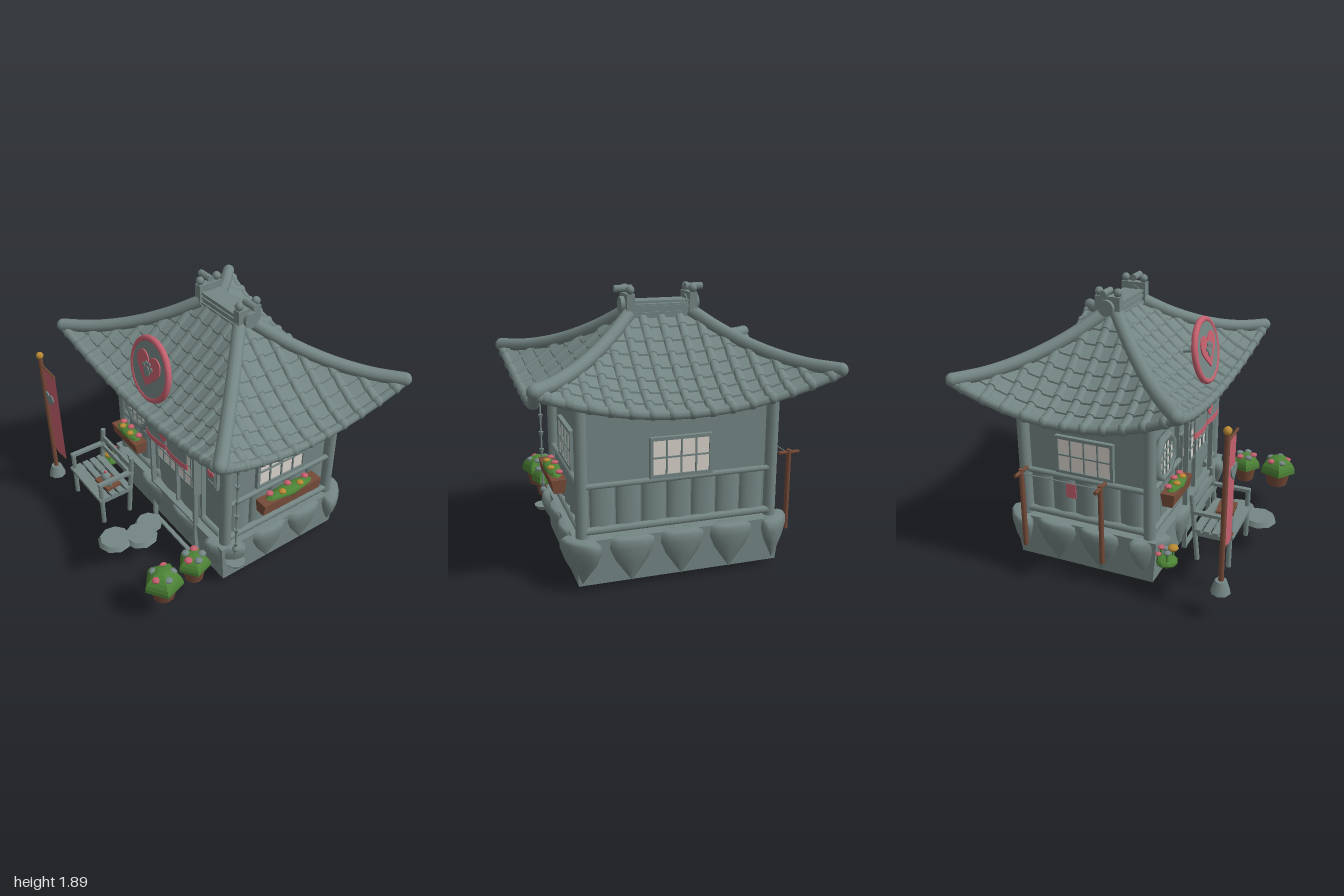
import * as THREE from 'three';
import { mergeGeometries, toCreasedNormals } from 'three/addons/utils/BufferGeometryUtils.js';

const mat = (name, color, extra = {}) => Object.assign(new THREE.MeshStandardMaterial({ color, ...extra }), { name });
const M = {
  grey: mat('slate grey', 0x748684), pink: mat('rose pink', 0xc4606e),
  cloth: mat('rose cloth', 0xc4606e, { side: THREE.DoubleSide }),
  brown: mat('wood brown', 0x754a38), soffit: mat('dark wood', 0x583a2d),
  green: mat('leaf green', 0x4c8236, { flatShading: true }), gold: mat('gold', 0xb98a34), cream: mat('paper cream', 0xd9d2cb),
};
const V = (x, y, z) => new THREE.Vector3(x, y, z);
const ZC = -0.175; // depth centre of the house

function add(parent, name, geo, material, x = 0, y = 0, z = 0, rx = 0, ry = 0, rz = 0) {
  const m = new THREE.Mesh(geo, material);
  m.name = name;
  m.position.set(x, y, z);
  m.rotation.set(rx, ry, rz);
  parent.add(m);
  return m;
}
function group(parent, name, x = 0, y = 0, z = 0, ry = 0) {
  const g = new THREE.Group();
  g.name = name;
  g.position.set(x, y, z);
  g.rotation.y = ry;
  parent.add(g);
  return g;
}
const box = (w, h, d) => new THREE.BoxGeometry(w, h, d);
const cyl = (r, h, n = 10, r2 = r) => new THREE.CylinderGeometry(r, r2, h, n);
const ball = (r, n = 10) => new THREE.SphereGeometry(r, n, Math.max(6, n - 2));

// Surface through rows of points
function loft(rows) {
  const n = rows[0].length, idx = [];
  for (let i = 0; i < rows.length - 1; i++) for (let j = 0; j < n - 1; j++) {
    const a = i * n + j, b = a + n;
    idx.push(a, b, a + 1, b, b + 1, a + 1);
  }
  const g = new THREE.BufferGeometry().setFromPoints(rows.flat());
  g.setIndex(idx);
  return toCreasedNormals(g, 0.7);
}
function heartGeo(w, depth = 0.009) {
  const s = new THREE.Shape(), k = w / 2;
  s.moveTo(0, -0.9 * k);
  s.bezierCurveTo(-0.5 * k, -0.4 * k, -k, -0.1 * k, -k, 0.3 * k);
  s.bezierCurveTo(-k, 0.95 * k, -0.15 * k, 0.95 * k, 0, 0.4 * k);
  s.bezierCurveTo(0.15 * k, 0.95 * k, k, 0.95 * k, k, 0.3 * k);
  s.bezierCurveTo(k, -0.1 * k, 0.5 * k, -0.4 * k, 0, -0.9 * k);
  return new THREE.ExtrudeGeometry(s, { depth, bevelEnabled: false, curveSegments: 8 });
}

// Roof: half width and reach grow from ridge (t = 0) to eave (t = 1)
const hipY = t => 1.39 + 0.31 * (1 - t) ** 1.95;
const midY = t => 1.19 + 0.51 * (1 - t) ** 1.3;
const spanX = t => 0.21 + 0.75 * t, spanZ = t => 0.05 + 0.7 * t;
function roofPoint(k, s, t, lift = 0) {
  const [w, d] = k % 2 ? [spanZ(t), spanX(t)] : [spanX(t), spanZ(t)];
  const a = k * Math.PI / 2, along = s * w, out = d - 0.06 * t * (1 - s * s);
  const y = midY(t) + (hipY(t) - midY(t)) * s * s + lift;
  return V(along * Math.cos(a) + out * Math.sin(a), y, ZC - along * Math.sin(a) + out * Math.cos(a));
}
function buildRoof(root) {
  const roof = group(root, 'roof'), ROWS = 8;
  const S = Array.from({ length: 17 }, (_, i) => i / 8 - 1);
  for (let k = 0; k < 4; k++) {
    const pans = [], under = [], tiles = [];
    for (let j = 0; j < ROWS; j++) {
      pans.push(S.map(s => roofPoint(k, s, j / ROWS)), S.map(s => roofPoint(k, s, (j + 1) / ROWS, 0.012)));
    }
    for (let j = ROWS; j >= 0; j--) under.push(S.map(s => roofPoint(k, s, j / ROWS, -0.03)));
    add(roof, 'roofPans', loft(pans), M.grey);
    add(roof, 'roofUnderside', loft(under), M.soffit);
    // Overlapping barrel tiles, clipped at the hips
    const w = k % 2 ? spanZ : spanX, cols = k % 2 ? 11 : 15, dir = V(Math.cos(k * Math.PI / 2), 0, -Math.sin(k * Math.PI / 2));
    for (let c = 0; c < cols; c++) {
      const a = ((c + 0.5) / cols * 2 - 1) * w(1), t0 = Math.max(0, (Math.abs(a) - w(0)) / (w(1) - w(0)));
      const ring = (t, r) => Array.from({ length: 7 }, (_, i) => {
        const f = Math.PI * (1 - i / 6), p = roofPoint(k, a / w(t), t, r * Math.sin(f));
        return p.addScaledVector(dir, r * 1.1 * Math.cos(f));
      });
      const rows = [];
      for (let j = 0; j < ROWS; j++) {
        if ((j + 1) / ROWS <= t0) continue;
        rows.push(ring(Math.max(t0, j / ROWS), 0.026), ring((j + 1) / ROWS, 0.033));
      }
      tiles.push(loft(rows));
      const e = roofPoint(k, a / w(1), 1), end = ball(0.04, 8);
      end.translate(e.x, e.y, e.z);
      tiles.push(end.toNonIndexed());
    }
    tiles.forEach(g => g.deleteAttribute('uv'));
    add(roof, 'roofTiles', mergeGeometries(tiles), M.grey);
    const edge = new THREE.CatmullRomCurve3(S.map(s => roofPoint(k, s, 1, -0.005)));
    add(roof, 'eaveEdge', new THREE.TubeGeometry(edge, 32, 0.03, 8), M.grey);
    // Hip roll with rounded tip
    const sx = k < 2 ? 1 : -1, sz = k % 3 ? -1 : 1;
    const pts = [0, 0.2, 0.4, 0.6, 0.8, 1].map(t => V(sx * spanX(t), hipY(t) + 0.015, ZC + sz * spanZ(t)));
    add(roof, 'hipRoll', new THREE.TubeGeometry(new THREE.CatmullRomCurve3(pts), 24, 0.046, 10), M.grey);
    add(roof, 'hipTip', ball(0.046), M.grey, pts[5].x, pts[5].y, pts[5].z);
  }
  // Ridge
  add(roof, 'ridge', box(0.44, 0.1, 0.13), M.grey, 0, 1.72, ZC - 0.01);
  for (const y of [1.71, 1.75, 1.785]) add(roof, 'ridgeBand', box(0.46, 0.016, 0.15), M.grey, 0, y, ZC - 0.01);
  for (const s of [-1, 1]) {
    const e = group(roof, 'ridgeEnd', s * 0.215, 0, ZC - 0.01);
    add(e, 'endBlock', box(0.055, 0.13, 0.18), M.grey, 0, 1.775);
    add(e, 'endDisc', cyl(0.055, 0.09, 16), M.grey, s * 0.01, 1.765, 0, 0, 0, Math.PI / 2);
    add(e, 'longPeg', cyl(0.024, 0.12, 8), M.grey, s * 0.03, 1.87, 0, 0, 0, Math.PI / 2);
    for (const z of [-0.068, 0.068]) add(e, 'knob', ball(0.03, 8), M.grey, 0, 1.865, z);
  }
}

function windowGrid(p, w, h, cols, rows, x, y, z, rim = 0.022) {
  const g = group(p, 'window', x, y, z);
  add(g, 'paperPane', box(w, h, 0.009), M.cream);
  for (let i = 0; i <= cols; i++) add(g, 'windowBar', box(i % cols ? 0.01 : rim, h, 0.03), M.grey, -w / 2 + i * w / cols);
  for (let i = 0; i <= rows; i++) add(g, 'windowBar', box(w + rim, i % rows ? 0.01 : rim, 0.03), M.grey, 0, -h / 2 + i * h / rows);
}
function wainscot(p, x0, x1, n) {
  const w = (x1 - x0) / n;
  for (let i = 0; i < n; i++) add(p, 'wallPanel', cyl(0.5, 0.29, 14), M.grey, x0 + w * (i + 0.5), 0.54, 0).scale.set(w * 0.96, 1, 0.07);
  for (const y of [0.4, 0.7]) add(p, 'wallRail', cyl(y < 0.5 ? 0.026 : 0.02, x1 - x0 + 0.08, 8), M.grey, (x0 + x1) / 2, y, 0.03, 0, 0, Math.PI / 2);
}
function flowerBox(p, len, x, y, z) {
  const g = group(p, 'flowerBox', x, y, z), b = box(len, 0.09, 0.1), a = b.attributes.position;
  for (let i = 0; i < a.count; i++) if (a.getY(i) < 0) a.setZ(i, a.getZ(i) * 0.7);
  add(g, 'planter', b, M.brown);
  add(g, 'leaves', new THREE.IcosahedronGeometry(0.5, 1), M.green, 0, 0.045, 0).scale.set(len * 0.8, 0.075, 0.11);
  for (let i = 0; i < 5; i++) add(g, 'flower', ball(0.027, 7), i % 2 ? M.gold : M.pink, (i - 2) * len * 0.155, 0.085 - Math.abs(i - 2) * 0.007, (i % 2 - 0.5) * 0.04).scale.y = 0.55;
}
function paw(p, r, x, y, z) {
  const pad = (dx, dy, s) => add(p, 'pawPad', cyl(s * r, 0.008, 12), M.grey, x + dx * r, y + dy * r, z, Math.PI / 2);
  pad(0, -0.35, 0.62);
  for (const [dx, dy] of [[-0.8, 0.2], [-0.3, 0.65], [0.3, 0.65], [0.8, 0.2]]) pad(dx, dy, 0.29);
}

function buildHouse(root) {
  const house = group(root, 'house');
  // Footing with pointed stones, turned outward at the corners
  const f = box(1.42, 0.32, 1.07), fp = f.attributes.position;
  for (let i = 0; i < fp.count; i++) if (fp.getY(i) < 0) fp.setXYZ(i, fp.getX(i) * 0.97, fp.getY(i), fp.getZ(i) * 0.94);
  add(house, 'footing', f, M.grey, 0, 0.2, ZC);
  const drop = new THREE.LatheGeometry([[0, 0.04], [0.05, 0.11], [0.115, 0.2], [0.155, 0.29], [0.15, 0.34], [0.12, 0.36], [0, 0.36]].map(q => new THREE.Vector2(...q)), 10);
  const stone = (x, z, ry) => { add(house, 'footingStone', drop, M.grey, x, 0, z, 0, ry).scale.z = 0.45; };
  for (const x of [-0.19, 0.23]) stone(x, 0.33, 0);
  for (const x of [-0.34, 0, 0.34]) stone(x, -0.69, 0);
  for (const s of [-1, 1]) {
    for (const z of [-0.06, -0.38]) stone(s * 0.69, z, Math.PI / 2);
    stone(s * 0.65, 0.29, s * Math.PI / 4);
    stone(s * 0.67, -0.67, -s * Math.PI / 4);
  }
  // Walls, tops rising to the corners with the roof
  const wall = new THREE.BoxGeometry(1.26, 0.98, 0.88, 12, 1, 12), wp = wall.attributes.position;
  for (let i = 0; i < wp.count; i++) if (wp.getY(i) > 0) wp.setY(i, 0.48 + 0.09 * Math.min((wp.getX(i) / 0.63) ** 2, (wp.getZ(i) / 0.44) ** 2));
  add(house, 'walls', wall, M.grey, 0, 0.84, ZC);
  for (const x of [-0.65, 0.65]) for (const z of [0.29, -0.63]) add(house, 'cornerPost', cyl(0.042, 1.03, 12), M.grey, x, 0.875, z);
  // Side and back walls
  for (const s of [-1, 1]) {
    const g = group(house, 'sideWall', s * 0.63, 0, ZC, s * Math.PI / 2);
    wainscot(g, -0.42, 0.42, 5);
    windowGrid(g, 0.4, 0.25, 4, 2, 0, 0.855, 0.02);
    if (s > 0) flowerBox(g, 0.5, 0, 0.635, 0.12);
  }
  const back = group(house, 'backWall', 0, 0, -0.615, Math.PI);
  wainscot(back, -0.6, 0.6, 7);
  windowGrid(back, 0.4, 0.25, 4, 2, 0, 0.855, 0.05);
  // Front wall
  const front = group(house, 'frontWall', 0, 0, 0.27);
  wainscot(front, -0.6, -0.18, 3);
  add(front, 'frontRail', cyl(0.026, 0.2, 8), M.grey, 0.51, 0.4, 0.03, 0, 0, Math.PI / 2);
  const oct = group(front, 'octagonWindow', -0.42, 0.855, 0.03);
  const pane = add(oct, 'octagonPane', cyl(0.14, 0.009, 8), M.cream, 0, 0, 0.005, Math.PI / 2);
  pane.geometry.rotateY(Math.PI / 8);
  add(oct, 'octagonFrame', new THREE.TorusGeometry(0.15, 0.03, 6, 8), M.grey, 0, 0, 0, 0, 0, Math.PI / 8);
  for (const o of [-0.06, 0, 0.06]) {
    add(oct, 'lattice', box(0.012, 0.25, 0.012), M.grey, o, 0, 0.012);
    add(oct, 'lattice', box(0.25, 0.012, 0.012), M.grey, 0, o, 0.012);
  }
  flowerBox(front, 0.34, -0.425, 0.63, 0.12);
  // Sliding doors
  const door = group(front, 'doors', 0.12);
  add(door, 'doorPanel', box(0.54, 0.78, 0.04), M.grey, 0, 0.75, 0.01);
  for (const s of [-1, 1]) {
    windowGrid(door, 0.252, 0.27, 3, 3, s * 0.132, 0.75, 0.04, 0.012);
    add(door, 'lowerPanel', cyl(0.5, 0.23, 16), M.grey, s * 0.13, 0.5, 0.03).scale.set(0.24, 1, 0.05);
    add(door, 'doorPost', box(0.022, 1.14, 0.035), M.grey, s * 0.272, 0.57, 0.085);
  }
  add(door, 'middlePost', box(0.018, 0.78, 0.03), M.grey, 0, 0.75, 0.05);
  for (const y of [0.01, 0.37, 1.13]) add(door, 'crossBar', box(0.56, 0.016, 0.03), M.grey, 0, y, 0.085);
  // Door curtain, rod and hanging ornaments
  const cur = group(front, 'doorCurtain', 0.12, 0, 0.135);
  add(cur, 'rod', cyl(0.013, 0.66, 8), M.grey, 0, 1.135, 0, 0, 0, Math.PI / 2);
  for (const s of [-1, 1]) {
    add(cur, 'curtainHalf', cyl(0.5, 0.22, 16), M.grey, s * 0.13, 1.02).scale.set(0.25, 1, 0.035);
    add(cur, 'curtainHem', cyl(0.5, 0.042, 16), M.pink, s * 0.13, 0.895).scale.set(0.258, 1, 0.042);
    add(cur, 'rodBracket', box(0.02, 0.02, 0.14), M.grey, s * 0.29, 1.135, -0.07);
  }
  add(cur, 'curtainHeart', heartGeo(0.115), M.pink, 0, 1.01, 0.02);
  add(cur, 'rodBall', ball(0.027), M.gold, 0.33, 1.14);
  add(cur, 'tag', box(0.035, 0.075, 0.02), M.pink, 0.33, 1.08);
  add(cur, 'bell', cyl(0.014, 0.06, 10, 0.024), M.grey, -0.32, 1.09);
  add(cur, 'bellTail', box(0.03, 0.08, 0.008), M.grey, -0.32, 1.01);
  // Wall plaque
  add(front, 'plaque', box(0.115, 0.175, 0.03), M.grey, 0.53, 0.885, 0.035);
  add(front, 'plaqueInset', box(0.085, 0.145, 0.02), M.grey, 0.53, 0.885, 0.046);
  add(front, 'plaqueHeart', heartGeo(0.07), M.pink, 0.53, 0.91, 0.055);
  add(front, 'plaqueLine', box(0.06, 0.012, 0.008), M.grey, 0.53, 0.845, 0.058);
  // Rain chain
  const chain = group(house, 'rainChain', 0.745, 0, 0.27);
  add(chain, 'chainLine', cyl(0.007, 1.0, 6), M.grey, 0, 0.75);
  for (let i = 0; i < 7; i++) add(chain, 'chainCup', cyl(0.018, 0.035, 8, 0.009), M.grey, 0, 0.4 + i * 0.13);
  add(chain, 'chainWeight', ball(0.025, 8), M.grey, 0, 0.36);
  add(chain, 'chainDish', cyl(0.07, 0.03, 10, 0.05), M.grey, 0, 0.23);
}

function flowerPot(p, x, z, r) {
  const g = group(p, 'flowerPot', x, 0.21, z);
  add(g, 'pot', cyl(r * 0.8, 0.13, 12, r * 0.58), M.brown, 0, 0.065);
  add(g, 'bush', new THREE.SphereGeometry(r * 1.05, 5, 6, 0, Math.PI * 2, 0, Math.PI * 0.55), M.green, 0, 0.125, 0, 0, 0.3).scale.y = 0.8;
  add(g, 'bushBase', cyl(r, 0.01, 5), M.green, 0, 0.112, 0, 0, 0.3 - Math.PI / 2);
  for (let i = 0; i < 5; i++) add(g, 'blossom', ball(0.031, 6), i % 2 ? M.pink : M.grey, Math.cos(i * 1.26) * r * 0.52, 0.205, Math.sin(i * 1.26) * r * 0.52).scale.y = 0.6;
}
function buildYard(root) {
  const yard = group(root, 'yard');
  // Round roof sign
  const sign = group(yard, 'roofSign', -0.005, 1.48, 0.425);
  sign.rotation.x = -0.18;
  add(sign, 'signDisc', cyl(0.205, 0.03, 36), M.grey, 0, 0, 0, Math.PI / 2);
  add(sign, 'signRim', new THREE.TorusGeometry(0.206, 0.022, 10, 36), M.pink);
  add(sign, 'signHeart', heartGeo(0.27), M.pink, 0, 0.005, 0.016);
  paw(sign, 0.055, 0, 0.008, 0.029);
  add(sign, 'signStrut', cyl(0.012, 0.16, 8), M.grey, 0, 0, -0.08, Math.PI / 2);
  // Banner
  const ban = group(yard, 'banner', -0.825, 0, 0.84);
  add(ban, 'bannerBase', cyl(0.038, 0.085, 8, 0.066), M.grey, 0, 0.25);
  add(ban, 'pole', cyl(0.018, 1.02, 8), M.brown, 0, 0.79);
  add(ban, 'poleBall', ball(0.027), M.gold, 0, 1.31);
  add(ban, 'bannerArm', cyl(0.01, 0.21, 6), M.brown, 0.105, 1.235, 0, 0, 0, Math.PI / 2);
  const cloth = new THREE.PlaneGeometry(0.185, 0.73, 8, 8), cp = cloth.attributes.position;
  for (let i = 0; i < cp.count; i++) cp.setZ(i, 0.016 * Math.cos(cp.getX(i) * 17));
  cloth.computeVertexNormals();
  add(ban, 'bannerCloth', cloth, M.cloth, 0.115, 0.87, -0.005);
  for (const z of [0.012, -0.008]) add(ban, 'bannerHeart', heartGeo(0.12), M.grey, 0.11, 1.0, z);
  add(ban, 'bannerBar', cyl(0.008, 0.2, 6), M.brown, 0.11, 0.51, 0, 0, 0, Math.PI / 2);
  // Bench
  const bench = group(yard, 'bench', -0.345, 0, 0.68);
  for (const s of [-1, 1]) {
    add(bench, 'frontLeg', cyl(0.018, 0.36, 8), M.grey, s * 0.205, 0.39, 0.125);
    add(bench, 'backLeg', cyl(0.018, 0.48, 8), M.grey, s * 0.205, 0.45, -0.115, -0.1);
    add(bench, 'armRest', box(0.035, 0.022, 0.28), M.grey, s * 0.205, 0.565, 0);
    add(bench, 'sideRail', box(0.02, 0.03, 0.24), M.grey, s * 0.205, 0.41, 0);
  }
  for (const z of [-0.09, -0.03, 0.03, 0.09, 0.13]) add(bench, 'seatSlat', box(0.45, 0.022, 0.045), M.grey, 0, 0.435, z);
  for (const y of [0.54, 0.615]) add(bench, 'backSlat', box(0.45, 0.035, 0.02), M.grey, 0, y, -0.12 - (y - 0.5) * 0.1, -0.1);
  // Tea tray
  const tray = group(bench, 'teaTray', 0.095, 0.46, 0.01, 0.12);
  add(tray, 'tray', box(0.16, 0.02, 0.12), M.brown);
  add(tray, 'teapot', ball(0.036), M.grey, -0.02, 0.04);
  add(tray, 'spout', cyl(0.007, 0.05, 6, 0.012), M.grey, -0.065, 0.055, 0, 0, 0, 0.8);
  add(tray, 'teapotKnob', ball(0.012, 6), M.pink, -0.02, 0.082);
  add(tray, 'teaCup', cyl(0.02, 0.03, 8, 0.014), M.grey, 0.05, 0.025, 0.02);
  // Stepping stones
  for (const [x, z, r] of [[0.08, 0.56, 0.1], [0.15, 0.67, 0.125], [0.08, 0.84, 0.125]]) add(yard, 'steppingStone', cyl(r * 0.85, 0.035, 9, r), M.grey, x, 0.235, z);
  flowerPot(yard, 0.685, 0.82, 0.13);
  flowerPot(yard, 0.67, 0.565, 0.11);
  // Small low plant with mixed blooms
  const plant = group(yard, 'smallPlant', -0.695, 0.21, 0.43);
  add(plant, 'tuft', new THREE.IcosahedronGeometry(0.075, 1), M.green, 0, 0.035).scale.y = 0.5;
  for (const [x, y, z, r, m] of [[0.035, 0.12, 0.03, 0.038, M.gold], [-0.045, 0.125, 0.02, 0.025, M.grey], [0, 0.13, -0.04, 0.024, M.pink], [-0.04, 0.1, -0.045, 0.022, M.pink], [0.055, 0.09, -0.03, 0.022, M.grey]]) {
    add(plant, 'stem', cyl(0.008, y - 0.02, 5), M.green, x, y / 2 + 0.005, z);
    add(plant, 'bloom', ball(r, 7), m, x, y, z).scale.y = 0.55;
  }
  // Drying rack beside the house
  const rack = group(yard, 'dryingRack', -0.82, 0, -0.27);
  for (const z of [-0.29, 0.29]) {
    add(rack, 'rackPost', cyl(0.018, 0.58, 8), M.brown, 0, 0.49, z);
    add(rack, 'rackArm', cyl(0.013, 0.15, 8), M.brown, 0, 0.76, z, 0, 0, Math.PI / 2);
  }
  add(rack, 'rackLine', cyl(0.005, 0.58, 6), M.grey, 0, 0.75, 0, Math.PI / 2);
  add(rack, 'hangingCloth', box(0.008, 0.1, 0.07), M.pink, 0, 0.695, 0.08);
}

export function createModel() {
  const root = new THREE.Group();
  root.name = 'teaHouse';
  buildRoof(root);
  buildHouse(root);
  buildYard(root);
  return root;
}
